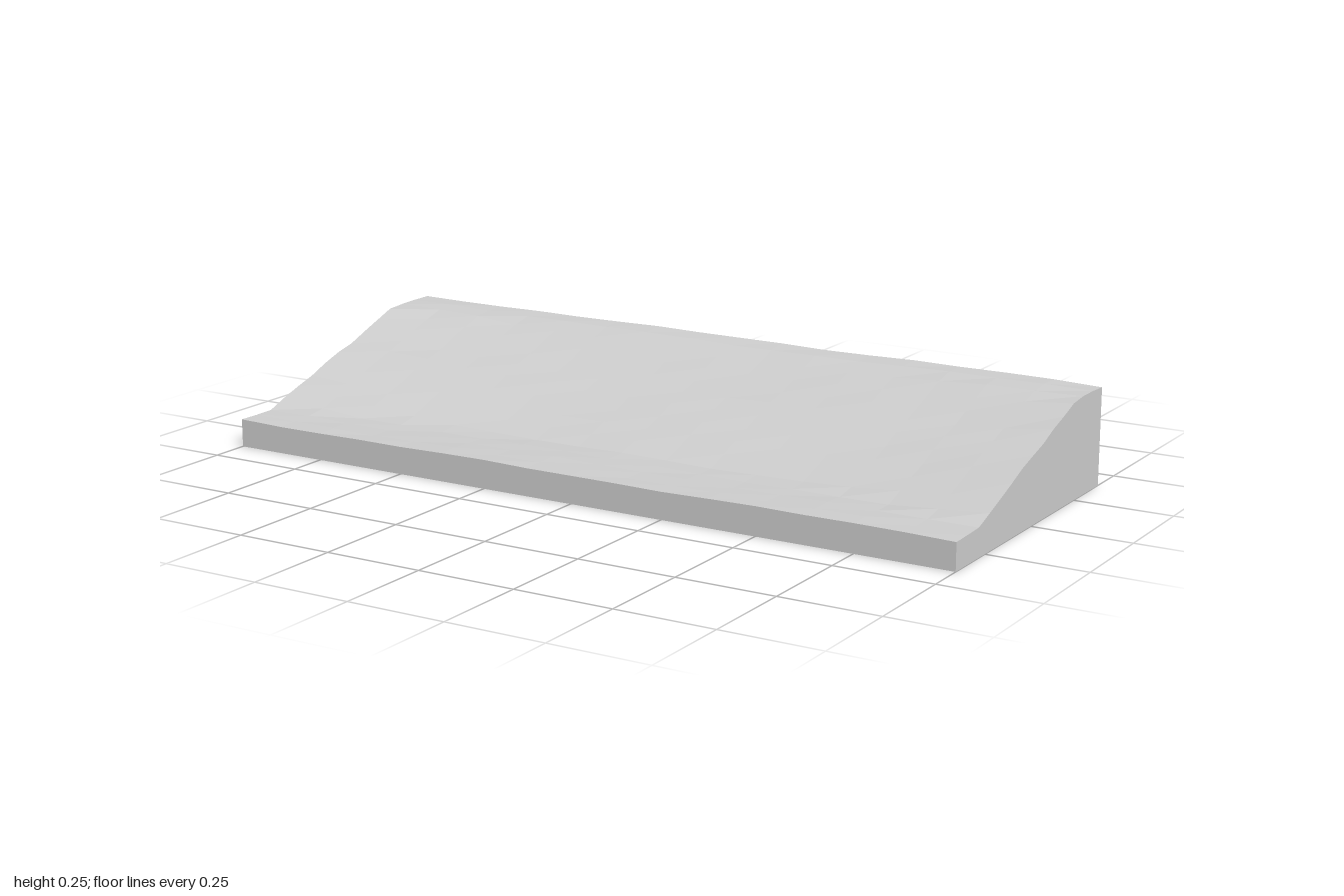
import * as THREE from 'three';

// Cross-section of the slope at the ends: [z, height], from low front to high back
const PROFILE = [
  [0.4, 0.07], [0.286, 0.07], [0.2, 0.1], [0.114, 0.128], [0.057, 0.15], [0, 0.168],
  [-0.057, 0.183], [-0.114, 0.205], [-0.2, 0.233], [-0.229, 0.244], [-0.3, 0.249], [-0.4, 0.246],
];

function profileHeight(z) {
  if (z >= PROFILE[0][0]) return PROFILE[0][1];
  for (let i = 1; i < PROFILE.length; i++) {
    const [z0, h0] = PROFILE[i - 1];
    const [z1, h1] = PROFILE[i];
    if (z >= z1) return h0 + (h1 - h0) * (z - z0) / (z1 - z0);
  }
  return PROFILE[PROFILE.length - 1][1];
}

// The bank bows towards the back in the middle, with a slight unevenness
function groundHeight(x, z) {
  const bow = 0.12 * (1 - Math.abs(x) ** 2.5);
  const ripple = 0.0015 * Math.sin(7 * x + 9 * z) + 0.001 * Math.sin(17 * x - 31 * z);
  return profileHeight(z + bow) + ripple;
}

export function createModel() {
  const model = new THREE.Group();
  const stone = new THREE.MeshStandardMaterial({ color: 0xcccccc, flatShading: true });
  stone.name = 'light grey';

  // Solid slab whose top is raised to the ground height
  const geometry = new THREE.BoxGeometry(2, 1, 0.8, 16, 1, 14);
  const p = geometry.attributes.position;
  for (let i = 0; i < p.count; i++) {
    p.setY(i, p.getY(i) > 0 ? groundHeight(p.getX(i), p.getZ(i)) : 0);
  }
  geometry.computeVertexNormals();

  const terrain = new THREE.Mesh(geometry, stone);
  terrain.name = 'slopedTerrain';
  model.add(terrain);
  return model;
}
